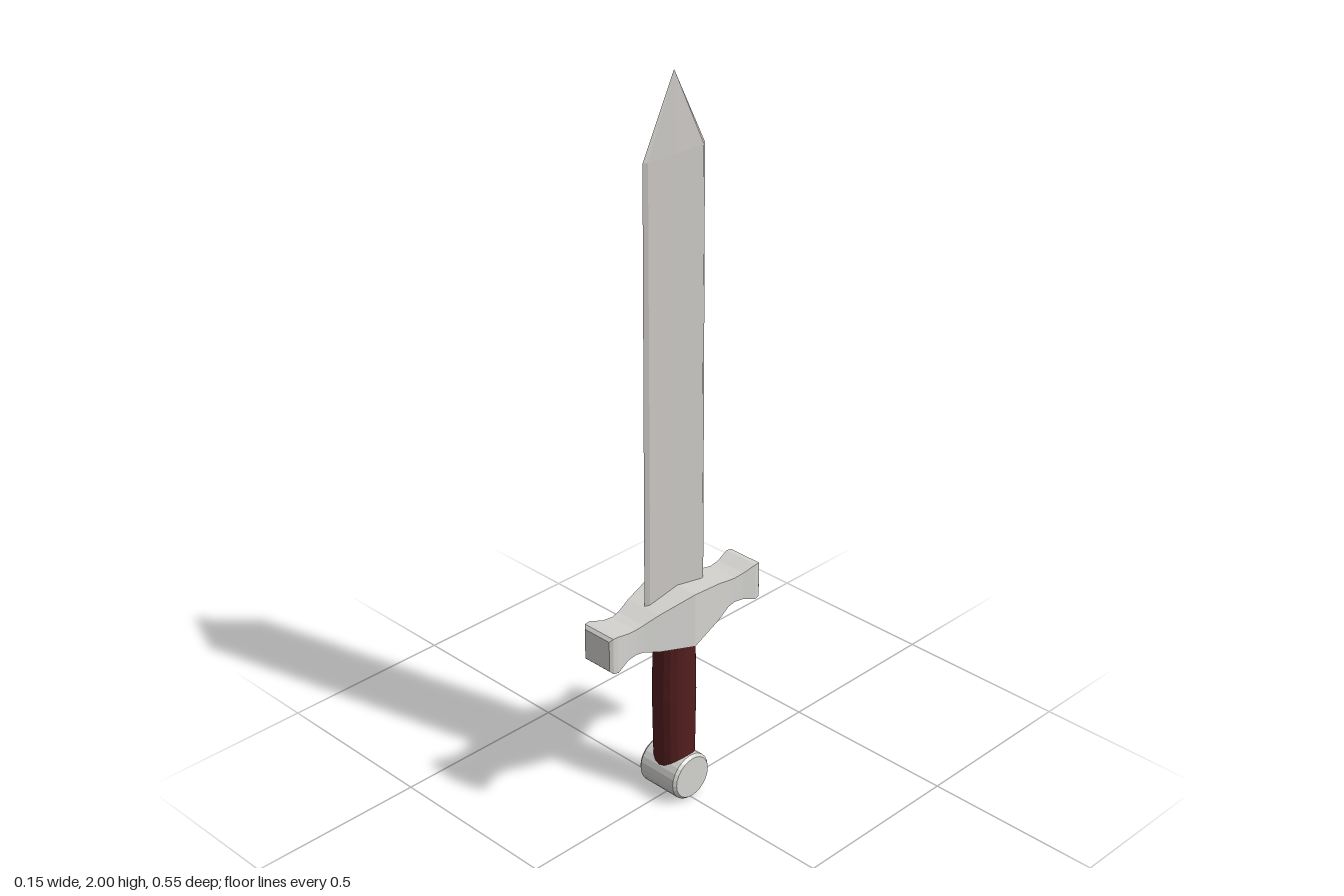
import * as THREE from 'three';

const mat = (name, color) => {
  const m = new THREE.MeshStandardMaterial({ color, flatShading: true });
  m.name = name;
  return m;
};

// Skin a list of closed cross-sections and cap both ends
function loft(rings) {
  const pos = [];
  const tri = (...pts) => pts.forEach((p) => pos.push(...p));
  const n = rings[0].length;
  for (let k = 0; k < rings.length - 1; k++) {
    for (let i = 0; i < n; i++) {
      const j = (i + 1) % n;
      tri(rings[k][i], rings[k][j], rings[k + 1][j]);
      tri(rings[k][i], rings[k + 1][j], rings[k + 1][i]);
    }
  }
  const first = rings[0], last = rings[rings.length - 1];
  for (let i = 1; i < n - 1; i++) {
    tri(first[0], first[i + 1], first[i]);
    tri(last[0], last[i], last[i + 1]);
  }
  const g = new THREE.BufferGeometry();
  g.setAttribute('position', new THREE.Float32BufferAttribute(pos, 3));
  g.computeVertexNormals();
  return g;
}

export function createModel() {
  const model = new THREE.Group();
  const bladeSteel = mat('blade steel', 0xc9c6c3);
  const fittingSteel = mat('fitting steel', 0xd3d2cf);
  const leather = mat('dark red leather', 0x541e1e);
  const add = (name, geometry, material) => {
    const mesh = new THREE.Mesh(geometry, material);
    mesh.name = name;
    model.add(mesh);
    return mesh;
  };

  // Blade: bevelled edges and a faint central ridge, tapering to a point
  // [y, half width, flat half width, edge thickness, ridge thickness]
  const bladeRings = [
    [0.55, 0.107, 0.094, 0.008, 0.011],
    [1.8, 0.103, 0.092, 0.007, 0.009],
    [2.0, 0.0006, 0.0004, 0.0004, 0.0006],
  ].map(([y, w, b, t, r]) =>
    [[w, 0], [b, t], [0, r], [-b, t], [-w, 0], [-b, -t], [0, -r], [b, -t]]
      .map(([z, x]) => [x, y, z]));
  add('blade', loft(bladeRings), bladeSteel);

  // Crossguard: half profile [z, half width, bottom, top], mirrored front to back
  const half = [
    [0, 0.077, 0.48, 0.635],
    [0.11, 0.056, 0.503, 0.612],
    [0.155, 0.046, 0.518, 0.598],
    [0.18, 0.044, 0.521, 0.594],
    [0.21, 0.046, 0.518, 0.597],
    [0.25, 0.053, 0.504, 0.609],
    [0.265, 0.051, 0.506, 0.608],
    [0.273, 0.044, 0.514, 0.6],
  ];
  const mirrored = half.slice(1).reverse().map(([z, ...rest]) => [-z, ...rest]);
  const guardRings = [...mirrored, ...half].map(([z, w, b, t]) =>
    [[-w, b, z], [w, b, z], [w, t, z], [-w, t, z]]);
  add('crossguard', loft(guardRings), fittingSteel);

  // Grip: round, swelling slightly front to back at mid height
  const gripProfile = [[0.055, 0.07], [0.056, 0.2], [0.056, 0.24], [0.056, 0.31], [0.056, 0.38], [0.055, 0.51]]
    .map(([r, y]) => new THREE.Vector2(r, y));
  const grip = new THREE.LatheGeometry(gripProfile, 20);
  const p = grip.attributes.position;
  for (let i = 0; i < p.count; i++) {
    const swell = Math.max(0, 1 - Math.abs(p.getY(i) - 0.31) / 0.2);
    p.setZ(i, p.getZ(i) * (1 + 0.09 * swell));
  }
  add('grip', grip, leather);

  // Pommel: bevelled drum lying across the handle
  const pommelProfile = [[0, -0.068], [0.059, -0.068], [0.066, -0.06], [0.066, 0.06], [0.059, 0.068], [0, 0.068]]
    .map(([r, y]) => new THREE.Vector2(r, y));
  const pommel = add('pommel', new THREE.LatheGeometry(pommelProfile, 24), fittingSteel);
  pommel.rotation.z = Math.PI / 2;
  pommel.position.y = 0.066;

  return model;
}
